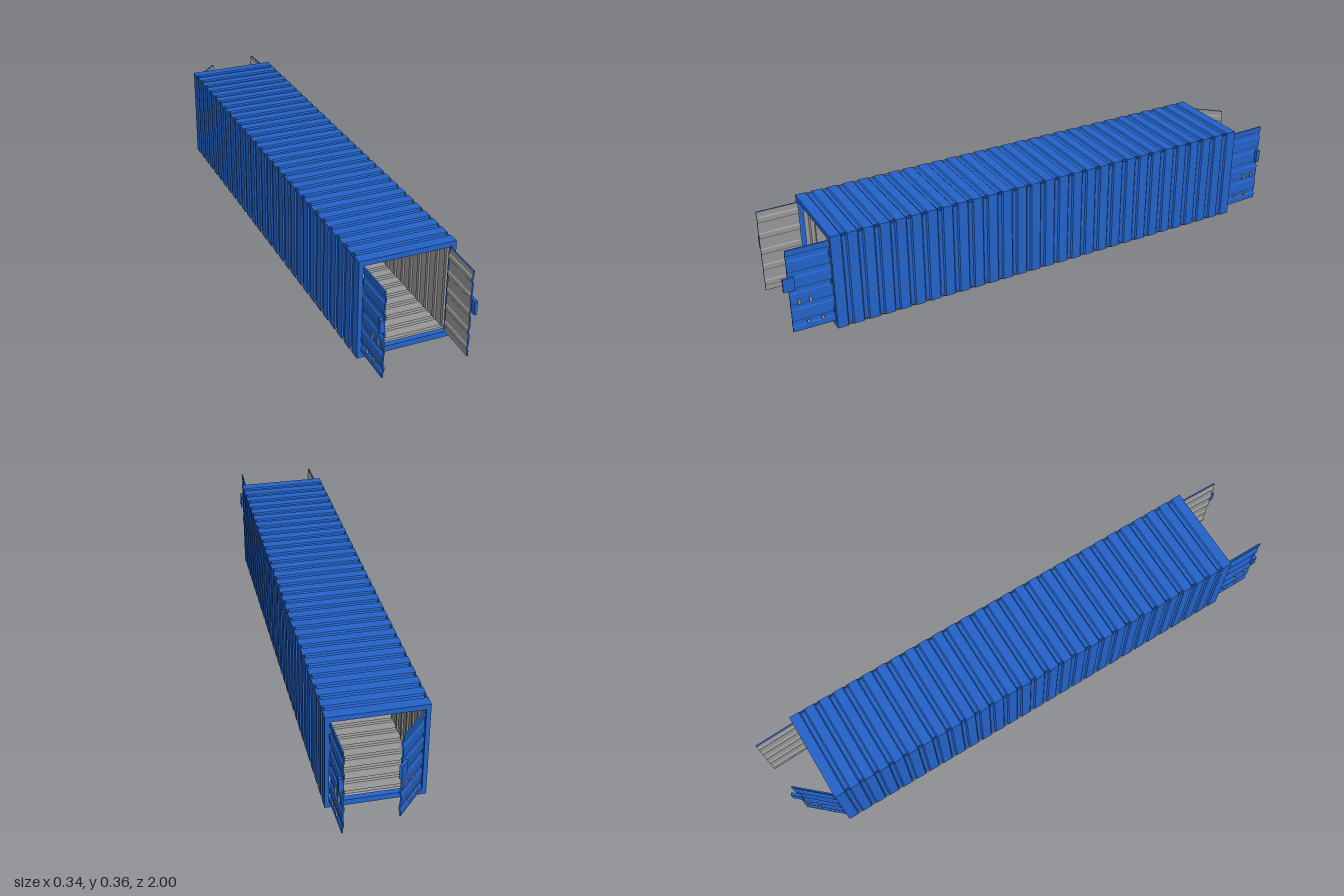
import * as THREE from 'three';

const blue = new THREE.MeshStandardMaterial({ color: 0x2464cc });
blue.name = 'bluePaint';
const grey = new THREE.MeshStandardMaterial({ color: 0x999999 });
grey.name = 'greyLining';

const V = (x, y, z) => new THREE.Vector3(x, y, z);

function add(parent, name, geometry, material, x = 0, y = 0, z = 0) {
  const mesh = new THREE.Mesh(geometry, material);
  mesh.name = name;
  mesh.position.set(x, y, z);
  parent.add(mesh);
  return mesh;
}

// trapezoid ribs along a line: [distance, depth] pairs
function ribProfile(length, ribs, depth) {
  const p = length / ribs;
  const points = [[0, 0]];
  for (let i = 0; i < ribs; i++) {
    points.push([(i + 0.3) * p, 0], [(i + 0.38) * p, -depth], [(i + 0.62) * p, -depth], [(i + 0.7) * p, 0]);
  }
  points.push([length, 0]);
  return points;
}

// flat-faced ribbon swept along z, facing the negative y side
function ribbon(points, width) {
  const pos = [];
  for (let i = 0; i < points.length - 1; i++) {
    const [a, b] = points[i], [c, d] = points[i + 1];
    pos.push(a, b, 0, c, d, 0, c, d, width, a, b, 0, c, d, width, a, b, width);
  }
  const g = new THREE.BufferGeometry();
  g.setAttribute('position', new THREE.Float32BufferAttribute(pos, 3));
  g.computeVertexNormals();
  return g;
}

// ribbed sheet: painted outside, lined inside
function ribbedPanel(name, { length, width, ribs, depth, thick, start, along, outward }) {
  const outer = ribProfile(length, ribs, depth);
  const inner = outer.map(([a, b]) => [a, b - thick]);
  const outline = [...outer, ...inner.slice().reverse()].map(([a, b]) => new THREE.Vector2(a, b));
  const panel = new THREE.Group();
  panel.name = name;
  add(panel, name + 'Sheet', new THREE.ExtrudeGeometry(new THREE.Shape(outline), { depth: width, bevelEnabled: false }), blue);
  add(panel, name + 'Lining', ribbon(inner.map(([a, b]) => [a, b - 0.0008]), width), grey);
  const across = along.clone().cross(outward);
  panel.applyMatrix4(new THREE.Matrix4().makeBasis(along, outward, across).setPosition(start));
  return panel;
}

// rectangular end frame with an open doorway
function endFrame(name, z) {
  const rect = (P, x, y0, y1) => new P([[-x, y0], [x, y0], [x, y1], [-x, y1]].map(([a, b]) => new THREE.Vector2(a, b)));
  const shape = rect(THREE.Shape, 0.17, 0, 0.362);
  shape.holes.push(rect(THREE.Path, 0.155, 0.021, 0.343));
  const g = new THREE.ExtrudeGeometry(shape, { depth: 0.02, bevelEnabled: false });
  const mesh = new THREE.Mesh(g, blue);
  mesh.name = name;
  mesh.position.z = z;
  return mesh;
}

// door hinged at its origin, reaching along local z, outside towards side * x
function door(name, x, z, angle, side) {
  const W = 0.15, H = 0.318, y0 = 0.023;
  const g = new THREE.Group();
  g.name = name;
  g.add(ribbedPanel('doorPanel', {
    length: H, width: W, ribs: 5, depth: 0.003, thick: 0.005,
    start: V(side * 0.003, y0, side > 0 ? W : 0), along: V(0, 1, 0), outward: V(side, 0, 0),
  }));
  // lock plate: one leaf carries the overlapping plate, the other the box
  if (side > 0) add(g, 'lockPlate', new THREE.BoxGeometry(0.01, 0.05, 0.04), blue, 0.006, 0.215, W);
  else add(g, 'lockBox', new THREE.BoxGeometry(0.012, 0.05, 0.016), blue, -0.008, 0.215, W - 0.009);
  // locking handles and keepers
  for (const [y, zs] of [[0.054, [0.045, 0.095]], [0.137, [0.08, 0.12]]]) {
    for (const zz of zs) {
      const low = y < 0.1;
      add(g, 'keeper', new THREE.BoxGeometry(0.006, low ? 0.013 : 0.02, 0.009), grey, side * 0.005, y, zz);
    }
  }
  // hinge knuckles
  for (const y of [0.07, 0.18, 0.29]) {
    add(g, 'hinge', new THREE.CylinderGeometry(0.003, 0.003, 0.02, 8), blue, side * 0.002, y, 0.002);
  }
  g.position.set(x, 0, z);
  g.rotation.y = angle;
  return g;
}

export function createModel() {
  const model = new THREE.Group();
  model.name = 'cargoContainer';

  // ribbed walls, roof and floor
  const wall = { length: 1.64, ribs: 28, depth: 0.005, thick: 0.003, along: V(0, 0, 1) };
  const zs = -0.83;
  model.add(ribbedPanel('leftWall', { ...wall, width: 0.362, start: V(0.17, 0, zs), outward: V(1, 0, 0) }));
  model.add(ribbedPanel('rightWall', { ...wall, width: 0.362, start: V(-0.17, 0.362, zs), outward: V(-1, 0, 0) }));
  model.add(ribbedPanel('roof', { ...wall, width: 0.34, start: V(0.17, 0.362, zs), outward: V(0, 1, 0) }));
  model.add(ribbedPanel('floor', { ...wall, width: 0.34, start: V(-0.17, 0, zs), outward: V(0, -1, 0) }));

  // end frames
  model.add(endFrame('frontFrame', 0.81), endFrame('backFrame', -0.85));

  // open doors at both ends
  model.add(door('frontLeftDoor', 0.15, 0.83, -0.02, 1));
  model.add(door('frontRightDoor', -0.152, 0.83, 0, -1));
  model.add(door('backLeftDoor', 0.151, -0.85, Math.PI + 0.04, -1));
  model.add(door('backRightDoor', -0.15, -0.85, Math.atan2(0.1, -0.11), 1));
  return model;
}
